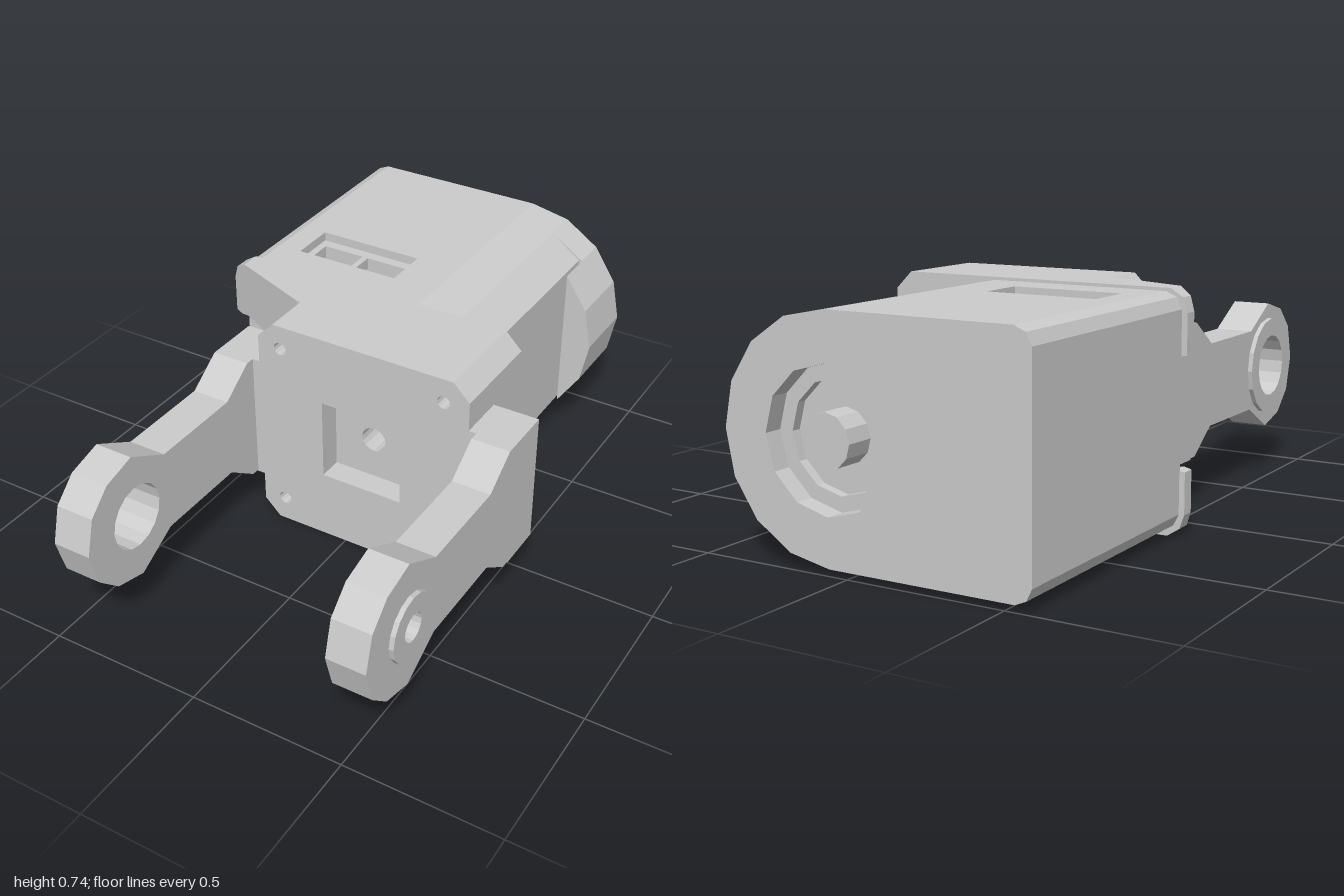
import * as THREE from 'three';

const grey = new THREE.MeshStandardMaterial({ color: 0xcccccc, flatShading: true });
const CY = 0.375; // height of the shared centre line
const SX = 0.06;  // x of the motor shaft

const toPoints = (list) => list.map(([x, y]) => new THREE.Vector2(x, y));
const rect = (x0, y0, x1, y1) => [[x0, y0], [x1, y0], [x1, y1], [x0, y1]];

// Points along an arc, angles in degrees
function arc(cx, cy, r, from, to, steps) {
  return Array.from({ length: steps + 1 }, (_, i) => {
    const a = THREE.MathUtils.degToRad(from + ((to - from) * i) / steps);
    return [cx + r * Math.cos(a), cy + r * Math.sin(a)];
  });
}
const ring = (cx, cy, r, sides = 16) => arc(cx, cy, r, 0, 360, sides).slice(0, sides);

// Mesh extruded from an outline between two z values, with optional holes
function slab(name, outline, z0, z1, holes = []) {
  const shape = new THREE.Shape(toPoints(outline));
  shape.holes = holes.map((h) => new THREE.Path(toPoints(h)));
  const geometry = new THREE.ExtrudeGeometry(shape, { depth: z1 - z0, bevelEnabled: false });
  geometry.translate(0, 0, z0);
  const mesh = new THREE.Mesh(geometry, grey);
  mesh.name = name;
  return mesh;
}

// Mesh extruded from a (z, y) outline between two x values
function sideSlab(name, outline, x0, x1, holes = []) {
  const mesh = slab(name, outline, -x1, -x0, holes);
  mesh.geometry.rotateY(-Math.PI / 2);
  return mesh;
}

function makeMotor() {
  const motor = new THREE.Group();
  motor.name = 'motor';
  const r = 0.355;
  const leftCorners = [[-0.53, 0.73], [-0.565, 0.715], [-0.582, 0.68], [-0.582, 0.07], [-0.565, 0.035], [-0.53, 0.02]];
  const upper = arc(SX, CY, r, 45, 90, 2);
  const lower = arc(SX, CY, r, -90, -45, 2);
  upper[0][0] = lower[2][0] = 0.3;

  // Housing, split so that the middle length carries the socket opening
  const housing = [...upper, ...leftCorners, ...lower];
  const notched = [...upper, [-0.09, 0.73], [-0.09, 0.63], [-0.45, 0.63], [-0.45, 0.73], ...leftCorners, ...lower];
  motor.add(slab('housingRear', housing, -0.88, -0.44));
  motor.add(slab('housingMiddle', notched, -0.44, -0.285));
  motor.add(slab('housingFront', housing, -0.285, -0.16));

  // Socket panel with two slots, set below the housing top
  const socket = slab('socketPanel', rect(-0.45, 0.285, -0.09, 0.44), 0, 0.04, [
    rect(-0.425, 0.32, -0.28, 0.405),
    rect(-0.26, 0.32, -0.115, 0.405),
  ]);
  socket.geometry.rotateX(-Math.PI / 2);
  socket.position.y = 0.66;
  motor.add(socket);

  // Rear cap with a stepped round recess and a nose that overhangs the housing
  const cap = [...arc(SX, CY, r, -90, 90, 8), ...leftCorners];
  motor.add(slab('capRim', cap, -1, -0.94, [ring(SX, CY, 0.21, 12)]));
  motor.add(slab('capStep', cap, -0.94, -0.91, [ring(SX, CY, 0.165, 12)]));
  motor.add(slab('capBase', cap, -0.91, -0.88));
  motor.add(slab('capNose', arc(SX, CY, r, -45, 45, 4), -0.88, -0.76));
  motor.add(slab('shaft', ring(SX, CY, 0.08, 12), -1.003, -0.91));
  return motor;
}

function makeMount() {
  const mount = new THREE.Group();
  mount.name = 'mount';
  const c = 0.055;
  const x0 = -0.31, x1 = 0.43, top = 0.74;
  const screws = [];
  for (const x of [-0.23, 0.345]) for (const y of [0.085, 0.66]) screws.push(ring(x, y, 0.022, 12));
  const shaftHole = ring(SX, CY, 0.043);

  // Face plate: square pocket in front, round hole behind
  const face = [[x0 + c, 0], [x1 - c, 0], [x1, c], [x1, top - c], [x1 - c, top], [x0 + c, top], [x0, top - c], [x0, c]];
  mount.add(slab('facePlate', face, 0.09, 0.17, [rect(-0.08, 0.235, 0.2, 0.51), ...screws]));
  mount.add(slab('faceBacking', face, 0.01, 0.09, [shaftHole, ...screws]));

  // Rear plate against the motor
  const rear = [[-0.27, 0], [x1 - c, 0], [x1, c], [x1, top - c], [x1 - c, top], [-0.27, top]];
  mount.add(slab('rearPlate', rear, -0.165, 0.01, [shaftHole]));

  // Sloping wing with a notch in its outer edge
  const wing = slab('slopingWing', [
    [-0.27, 0], [-0.27, top], [-0.545, top], [-0.585, 0.715], [-0.6, 0.67], [-0.6, 0.545], [-0.57, 0.542], [-0.54, 0.55],
    [-0.46, 0.54], [-0.46, 0.207], [-0.54, 0.195], [-0.57, 0.203], [-0.6, 0.2], [-0.6, 0.07], [-0.585, 0.027], [-0.545, 0],
  ], -0.165, 0.01);
  const p = wing.geometry.attributes.position;
  for (let i = 0; i < p.count; i++) {
    if (p.getZ(i) > 0) p.setZ(i, 0.01 - (-0.27 - p.getX(i)) * 0.394);
  }
  wing.geometry.computeVertexNormals();
  mount.add(wing);
  return mount;
}

// Arm reaching forward, with a pivot boss on its outer side
function makeArm(name, inner, outer, root, bossR, holeR, bossDepth) {
  const arm = new THREE.Group();
  arm.name = name;
  const pivot = 0.78;
  const upper = [[0.17, 0.59], [0.2, 0.59], [0.315, 0.51], [0.635, 0.51], [0.78, 0.59], [0.893, 0.56], [0.968, 0.49]];
  const lower = upper.map(([z, y]) => [z, 2 * CY - y]).reverse();
  const outline = [...upper, [1, CY], ...lower];
  const hole = ring(pivot, CY, holeR);
  const span = (a, b) => [Math.min(a, b), Math.max(a, b)];
  arm.add(sideSlab('armBar', outline, ...span(inner, outer), [hole]));
  arm.add(sideSlab('armRoot', rect(0.01, 0.155, 0.17, 0.59), ...span(root, outer)));
  const end = outer + Math.sign(outer) * bossDepth;
  arm.add(sideSlab('pivotBoss', ring(pivot, CY, bossR), ...span(outer, end), [hole]));
  return arm;
}

export function createModel() {
  const model = new THREE.Group();
  model.name = 'motorBracket';
  model.add(makeMotor(), makeMount());
  model.add(makeArm('leftArm', 0.455, 0.58, 0.4, 0.105, 0.045, 0.015));
  model.add(makeArm('rightArm', -0.335, -0.46, -0.28, 0.165, 0.105, 0.015));
  return model;
}
